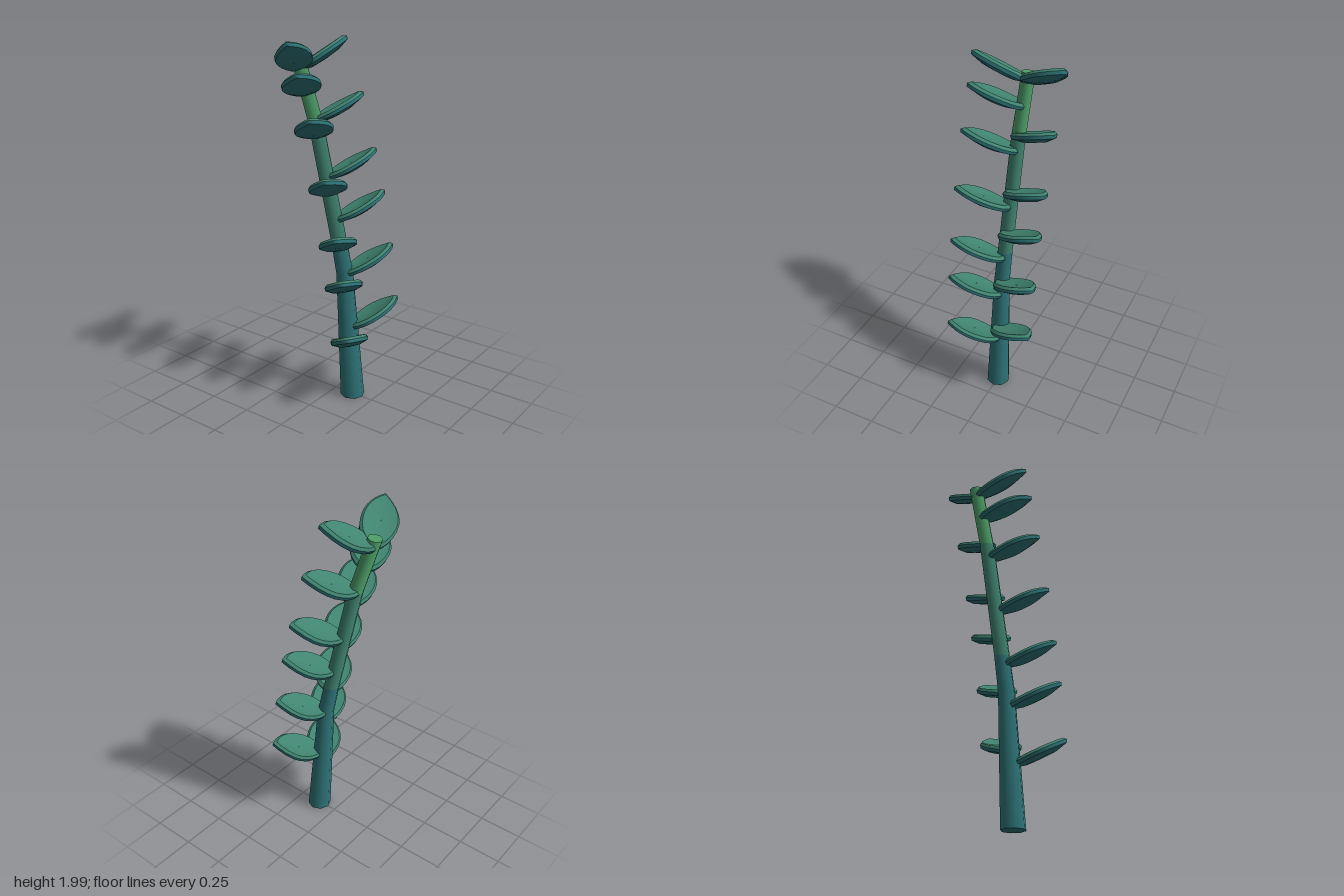
import * as THREE from 'three';
import { mergeGeometries, mergeVertices } from 'three/addons/utils/BufferGeometryUtils.js';

const material = (name, color) => {
  const m = new THREE.MeshStandardMaterial({ color });
  m.name = name;
  return m;
};

// Half outlines of a leaf seen from above: back edge base to tip, front edge tip to base
const spline = (pts) => new THREE.SplineCurve(pts.map(([x, z]) => new THREE.Vector2(x, z)));
const backEdge = spline([[-0.02, 0], [0.01, -0.024], [0.07, -0.034], [0.14, -0.027], [0.2, 0.002], [0.238, 0.06], [0.25, 0.125]]);
const frontEdge = spline([[0.25, 0.125], [0.2, 0.143], [0.15, 0.15], [0.1, 0.146], [0.05, 0.129], [0, 0.095], [-0.025, 0.045], [-0.02, 0]]);
const outline = [...backEdge.getPoints(10).slice(0, -1), ...frontEdge.getPoints(12).slice(0, -1)];

// Smooth patch from a list of triangle corners
function patch(triangles) {
  const g = mergeVertices(new THREE.BufferGeometry().setFromPoints(triangles));
  g.computeVertexNormals();
  return g;
}

// One thick leaf: hollowed face, sloping bevel, side wall and bulging underside
function makeLeaf(side, tipY, z0, a, b, depth, upper, lower) {
  const normal = new THREE.Vector3(-a, 1, -b).normalize();
  const ring = (inset, drop) => {
    const pts = outline.map((o) => {
      const x = o.x + (0.12 - o.x) * inset;
      const z = 0.15 - (0.15 - (o.y + (0.055 - o.y) * inset)) * depth;
      const p = new THREE.Vector3(x, tipY + a * (x - 0.25) + b * (z - 0.125), z + z0).addScaledVector(normal, -drop);
      p.x *= side;
      return p;
    });
    return side > 0 ? pts.reverse() : pts;
  };
  const band = (u, l) => u.flatMap((p, i) => {
    const j = (i + 1) % u.length;
    return [p, l[i], l[j], p, l[j], u[j]];
  });
  const rim = ring(0.11, 0), edge = ring(0, 0.014), base = ring(0.03, 0.032);
  const hollow = ring(0.5, 0.01), bulge = ring(0.45, 0.05);
  const leaf = new THREE.Group();
  const add = (name, mat, ...bands) => {
    const mesh = new THREE.Mesh(mergeGeometries(bands.map(patch)), mat);
    mesh.name = name;
    leaf.add(mesh);
  };
  add('leafFace', upper, [...band(hollow, rim), ...band(ring(0.98, 0.012), hollow)], band(rim, edge));
  add('leafUnderside', lower, band(edge, base), [...band(base, bulge), ...band(bulge, ring(0.98, 0.054))]);
  return leaf;
}

// Eight-sided stem piece, sheared so its ends meet the neighbouring pieces
function stemPiece([y0, z0, r0], [y1, z1, r1], mat, open, tilt) {
  const h = y1 - y0;
  const g = new THREE.CylinderGeometry(r1, r0, h, 8, 1, open);
  const pos = g.attributes.position;
  for (let i = 0; i < pos.count; i++) {
    const t = pos.getY(i) / h + 0.5;
    const z = pos.getZ(i);
    pos.setXYZ(i, pos.getX(i), y0 + h * t + z * tilt * t, z + z0 + (z1 - z0) * t);
  }
  return new THREE.Mesh(g, mat);
}

export function createModel() {
  const model = new THREE.Group();
  model.name = 'plant';
  const teal = material('teal', 0x2e7478);
  const seaGreen = material('sea green', 0x408470);
  const freshGreen = material('fresh green', 0x4d9f69);

  // Leaning stem: height, z and radius at each joint
  const joints = [[0, 0.117, 0.068], [0.73, 0.06, 0.047], [0.92, 0.018, 0.044], [1.55, -0.135, 0.041], [1.873, -0.247, 0.038]];
  const colours = [teal, teal, seaGreen, freshGreen];
  colours.forEach((mat, i) => {
    const piece = stemPiece(joints[i], joints[i + 1], mat, i === 1 || i === 2, i === 3 ? 0.2 : 0);
    piece.name = 'stem' + (i + 1);
    model.add(piece);
  });

  // Leaves alternate up the stem: tip height and base z
  const leaves = {
    right: [[0.49, 0.123], [0.8, 0.085], [1.03, 0.045], [1.33, -0.02], [1.63, -0.11], [1.85, -0.19], [2, -0.252]],
    left: [[0.57, 0.12], [0.88, 0.08], [1.18, 0.02], [1.41, -0.04], [1.71, -0.13], [2, -0.247]],
  };
  for (const [name, list] of Object.entries(leaves)) {
    list.forEach(([tipY, z0], i) => {
      const top = i === list.length - 1;
      const [a, b, depth] = top ? [0.33, 0.57, 1] : [0.28, 0.43, 1.13];
      const leaf = makeLeaf(name === 'left' ? 1 : -1, tipY, z0, a, b, depth, seaGreen, teal);
      leaf.name = name + 'Leaf' + (i + 1);
      model.add(leaf);
    });
  }
  return model;
}
